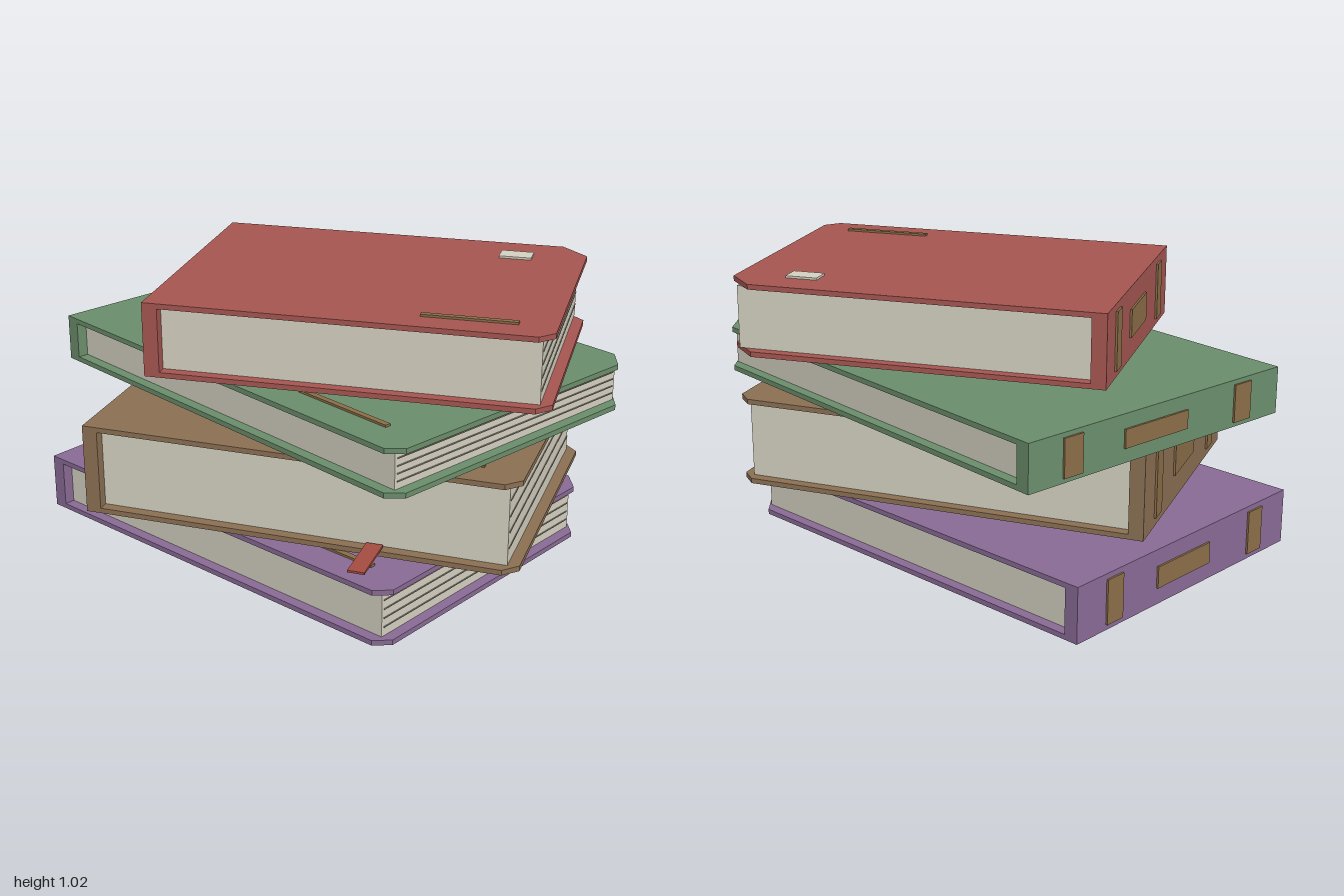
import * as THREE from 'three';

const mat = (name, color) => {
  const m = new THREE.MeshStandardMaterial({ color });
  m.name = name;
  return m;
};

// One closed book: local x runs from spine to fore edge, z along the spine.
// The origin is the back corner of the spine at the underside.
function makeBook(b, mats) {
  const { L, H, T } = b;
  const board = 0.019, spineDepth = 0.055, inset = 0.04;
  const book = new THREE.Group();
  book.name = b.name;

  const box = (name, material, size, pos) => {
    const mesh = new THREE.Mesh(new THREE.BoxGeometry(...size), material);
    mesh.name = name;
    mesh.position.set(...pos);
    book.add(mesh);
    return mesh;
  };

  // Cover boards with worn, clipped outer corners
  const outline = new THREE.Shape([
    [0, 0], [L - b.backClip, 0], [L, b.backClip],
    [L, H - 0.05], [L - 0.05, H], [0, H],
  ].map(([x, y]) => new THREE.Vector2(x, y)));
  const boardGeo = new THREE.ExtrudeGeometry(outline, { depth: board, bevelEnabled: false });
  boardGeo.rotateX(Math.PI / 2);
  [['lowerCover', board], ['upperCover', T]].forEach(([name, top]) => {
    const cover = new THREE.Mesh(boardGeo, b.cover);
    cover.name = name;
    cover.position.y = top;
    book.add(cover);
  });

  // Spine and page block
  const inner = T - 2 * board;
  box('spine', b.cover, [spineDepth, inner, H], [spineDepth / 2, T / 2, H / 2]);
  const pageLength = L - inset - spineDepth;
  box('pages', mats.paper, [pageLength, inner, H - 2 * inset],
    [spineDepth + pageLength / 2, T / 2, H / 2]);

  // Page lines on the fore edge
  for (let i = 1; i <= 4; i++) {
    box('pageLine', mats.pageLine, [0.004, 0.004, H - 2 * inset - 0.02],
      [L - inset + 0.001, board + inner * i / 5, H / 2]);
  }

  // Spine bands and title panel
  for (const f of [0.16, 0.84]) {
    box('spineBand', mats.brass, [0.009, T * 0.8, H * 0.07], [-0.003, T / 2, H * f]);
  }
  box('spinePanel', mats.brass, [0.009, T * 0.39, H * 0.25], [-0.003, T / 2, H * 0.48]);

  // Cover rule and paper label
  box('coverRule', mats.brass, [L * 0.235, 0.008, 0.022], [L * 0.79, T + 0.004, H * 0.89]);
  box('coverLabel', mats.paper, [0.12, 0.008, 0.075], [L * 0.82, T + 0.004, H * 0.16]);

  book.position.set(b.x, b.y, b.z);
  book.rotation.y = THREE.MathUtils.degToRad(b.turn);
  return book;
}

export function createModel() {
  const model = new THREE.Group();
  model.name = 'bookStack';

  const mats = {
    paper: mat('paper', 0xd3cfc0),
    pageLine: mat('pageLine', 0x97907f),
    brass: mat('brass', 0x8a6d48),
    ribbon: mat('ribbon', 0xa34b40),
  };
  const books = [
    { name: 'bottomBook', cover: mat('purpleCover', 0x886a94), x: -0.785, y: 0, z: -0.665,
      turn: -9.7, L: 1.668, H: 1.17, T: 0.207, backClip: 0.07 },
    { name: 'thickBook', cover: mat('brownCover', 0x8a6f52), x: -0.793, y: 0.218, z: -0.247,
      turn: 13.2, L: 1.57, H: 1.087, T: 0.332, backClip: 0.05 },
    { name: 'thinBook', cover: mat('greenCover', 0x6a8d6b), x: -0.69, y: 0.56, z: -0.82,
      turn: -15, L: 1.768, H: 1.193, T: 0.173, backClip: 0.075 },
    { name: 'topBook', cover: mat('redCover', 0xa45550), x: -0.642, y: 0.742, z: -0.264,
      turn: 17.2, L: 1.408, H: 1.01, T: 0.269, backClip: 0.1 },
  ];
  books.forEach((b) => model.add(makeBook(b, mats)));

  // Ribbon bookmark hanging out of the thick book
  const ribbon = new THREE.Mesh(new THREE.BoxGeometry(0.06, 0.008, 0.21), mats.ribbon);
  ribbon.name = 'ribbonBookmark';
  ribbon.position.set(0.515, 0.244, 0.64);
  ribbon.rotation.y = THREE.MathUtils.degToRad(13.2);
  model.add(ribbon);

  return model;
}
